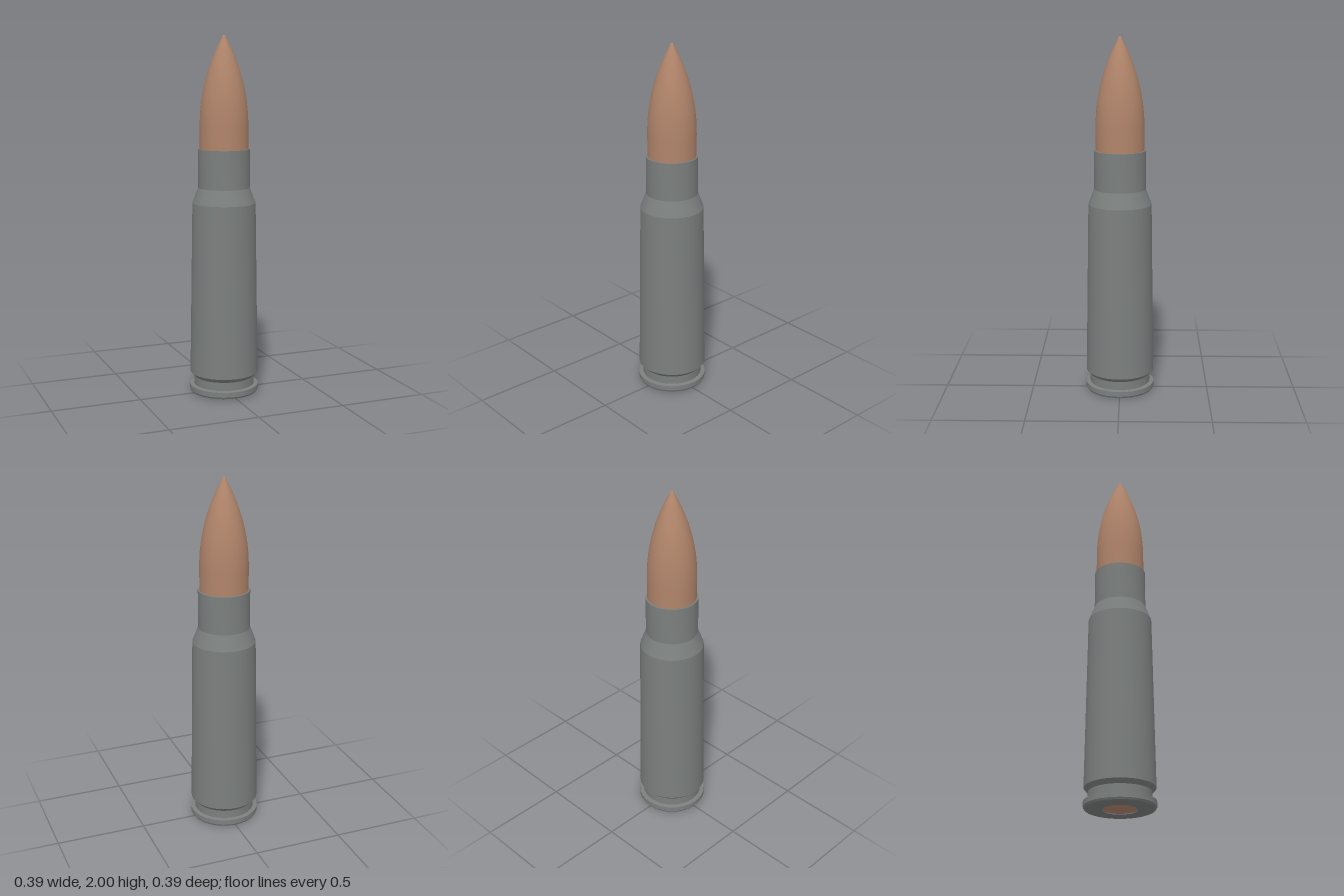
import * as THREE from 'three';
import { toCreasedNormals } from 'three/addons/utils/BufferGeometryUtils.js';

const SIDES = 32;

// Turned part from a list of [radius, height] pairs, run bottom to top
function turned(name, profile, material, crease) {
  let geometry = new THREE.LatheGeometry(profile.map(([r, y]) => new THREE.Vector2(r, y)), SIDES);
  if (crease) geometry = toCreasedNormals(geometry, crease);
  const mesh = new THREE.Mesh(geometry, material);
  mesh.name = name;
  return mesh;
}

export function createModel() {
  const steel = new THREE.MeshStandardMaterial({ color: 0x7b7f7e });
  steel.name = 'grey steel';
  const copper = new THREE.MeshStandardMaterial({ color: 0xb0846a });
  copper.name = 'copper';

  const group = new THREE.Group();
  group.name = 'cartridge';

  // Bevelled rim, extractor groove, tapered body, shoulder, neck and mouth
  group.add(turned('case', [
    [0.093, 0.02], [0.093, 0], [0.178, 0], [0.188, 0.004], [0.194, 0.014], [0.194, 0.042],
    [0.17, 0.045], [0.17, 0.092], [0.191, 0.115], [0.191, 0.13],
    [0.176, 1.08], [0.143, 1.165], [0.143, 1.38], [0.132, 1.38],
  ], steel, 0.35));

  // Straight shank, then a curved nose with a small rounded tip
  const nose = [[0.134, 1.36], [0.134, 1.45]];
  for (let i = 0; i <= 14; i++) {
    const t = i / 14;
    nose.push([0.134 * (1 - Math.pow(t, 2.1) * 0.92), 1.5 + 0.488 * t]);
  }
  nose.push([0.007, 1.996], [0, 2]);
  group.add(turned('projectile', nose, copper));

  // Slightly dished disc set in the base
  group.add(turned('primer', [[0, 0.012], [0.05, 0.009], [0.093, 0.004]], copper));

  return group;
}
